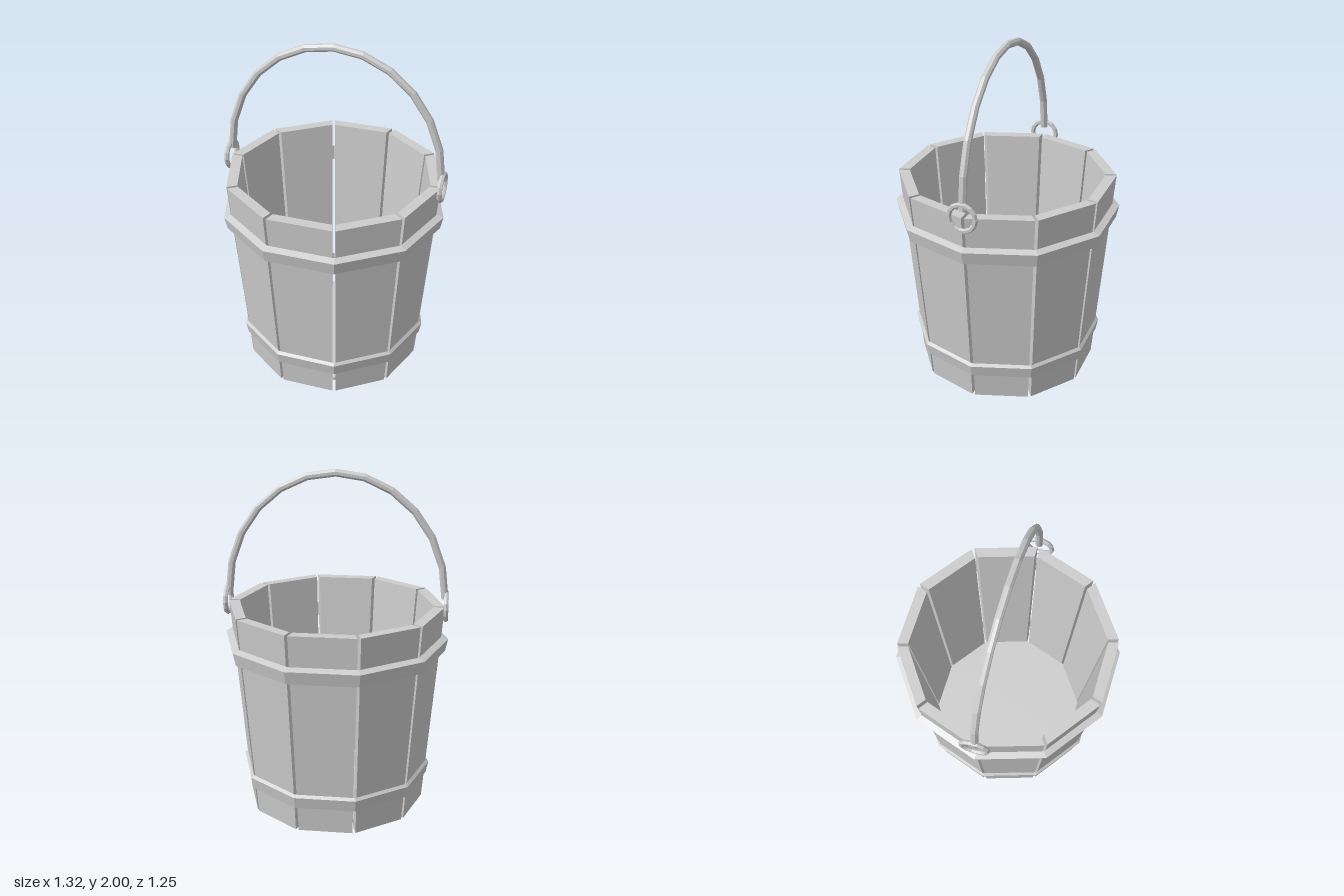
import * as THREE from 'three';

const SIDES = 10;
const HALF = Math.PI / SIDES;
const HEIGHT = 1.22;
const GAP = 0.018;
const WALL = 0.06;

// Distance from the axis to the flat outer face of a stave at height y
const apothem = (y) => 0.509 + (0.604 - 0.509) * (y / HEIGHT);

// One tapered, mitred stave facing +z
function staveGeometry() {
  const geo = new THREE.BoxGeometry(2, 1, 1);
  const p = geo.attributes.position;
  for (let i = 0; i < p.count; i++) {
    const y = p.getY(i) > 0 ? HEIGHT : 0;
    const a = apothem(y) - (p.getZ(i) > 0 ? 0 : WALL);
    const half = a * Math.tan(HALF) - GAP / 2 / Math.cos(HALF);
    p.setXYZ(i, Math.sign(p.getX(i)) * half, y, a);
  }
  geo.computeVertexNormals();
  return geo;
}

// Ten-sided hoop from a closed (radius, height) profile
function hoopGeometry(y0, yEdge, y1, r0, r1) {
  const wall = (y) => apothem(y) / Math.cos(HALF);
  const profile = [
    [wall(y0), y0], [r0, y0], [r1, yEdge], [wall(y1), y1], [wall(y0), y0],
  ].map(([r, y]) => new THREE.Vector2(r, y));
  return new THREE.LatheGeometry(profile, SIDES, HALF);
}

// Arched bar: an octagonal section swept along a half ellipse
function handleGeometry() {
  const steps = 12, n = 8, radius = 0.022;
  const pos = [], idx = [];
  for (let i = 0; i <= steps; i++) {
    const t = (i / steps) * Math.PI;
    const c = new THREE.Vector3(0.63 * Math.cos(t), 1.27 + 0.71 * Math.sin(t), 0);
    const out = new THREE.Vector3(0.71 * Math.cos(t), 0.63 * Math.sin(t), 0).normalize();
    for (let j = 0; j < n; j++) {
      const a = ((j + 0.5) / n) * Math.PI * 2;
      const v = c.clone().addScaledVector(out, radius * Math.cos(a));
      pos.push(v.x, v.y, radius * Math.sin(a));
      if (i < steps) {
        const k = (j + 1) % n, p = i * n, q = p + n;
        idx.push(p + j, q + j, p + k, q + j, q + k, p + k);
      }
    }
  }
  // End caps
  const last = steps * n;
  for (let j = 1; j < n - 1; j++) {
    idx.push(0, j, j + 1);
    idx.push(last, last + j + 1, last + j);
  }
  const geo = new THREE.BufferGeometry();
  geo.setAttribute('position', new THREE.Float32BufferAttribute(pos, 3));
  geo.setIndex(idx);
  const flat = geo.toNonIndexed();
  flat.computeVertexNormals();
  return flat;
}

export function createModel() {
  const bucket = new THREE.Group();
  bucket.name = 'bucket';
  const grey = new THREE.MeshStandardMaterial({ color: 0xcccccc, flatShading: true });
  grey.name = 'light grey';

  const add = (name, geo, parent = bucket) => {
    const mesh = new THREE.Mesh(geo, grey);
    mesh.name = name;
    parent.add(mesh);
    return mesh;
  };

  // Staves around the wall
  const staves = new THREE.Group();
  staves.name = 'staves';
  bucket.add(staves);
  const stave = staveGeometry();
  for (let i = 0; i < SIDES; i++) {
    add('stave', stave, staves).rotation.y = i * HALF * 2;
  }

  // Floor, set slightly above the lower rim
  const floorR = (apothem(0.04) - WALL + 0.002) / Math.cos(HALF);
  const floor = add('floor', new THREE.CylinderGeometry(floorR, floorR, 0.02, SIDES, 1, false, HALF));
  floor.position.y = 0.045;

  // Hoops
  add('upperHoop', hoopGeometry(0.95, 1.025, 1.04, 0.643, 0.659));
  add('lowerHoop', hoopGeometry(0.155, 0.225, 0.24, 0.556, 0.57));

  // Handle and its two side rings
  add('handle', handleGeometry());
  for (const side of [-1, 1]) {
    const ring = add('handleRing', new THREE.TorusGeometry(0.077, 0.015, 6, 14));
    ring.rotation.y = Math.PI / 2;
    ring.position.set(side * 0.639, 1.225, 0);
  }
  return bucket;
}
